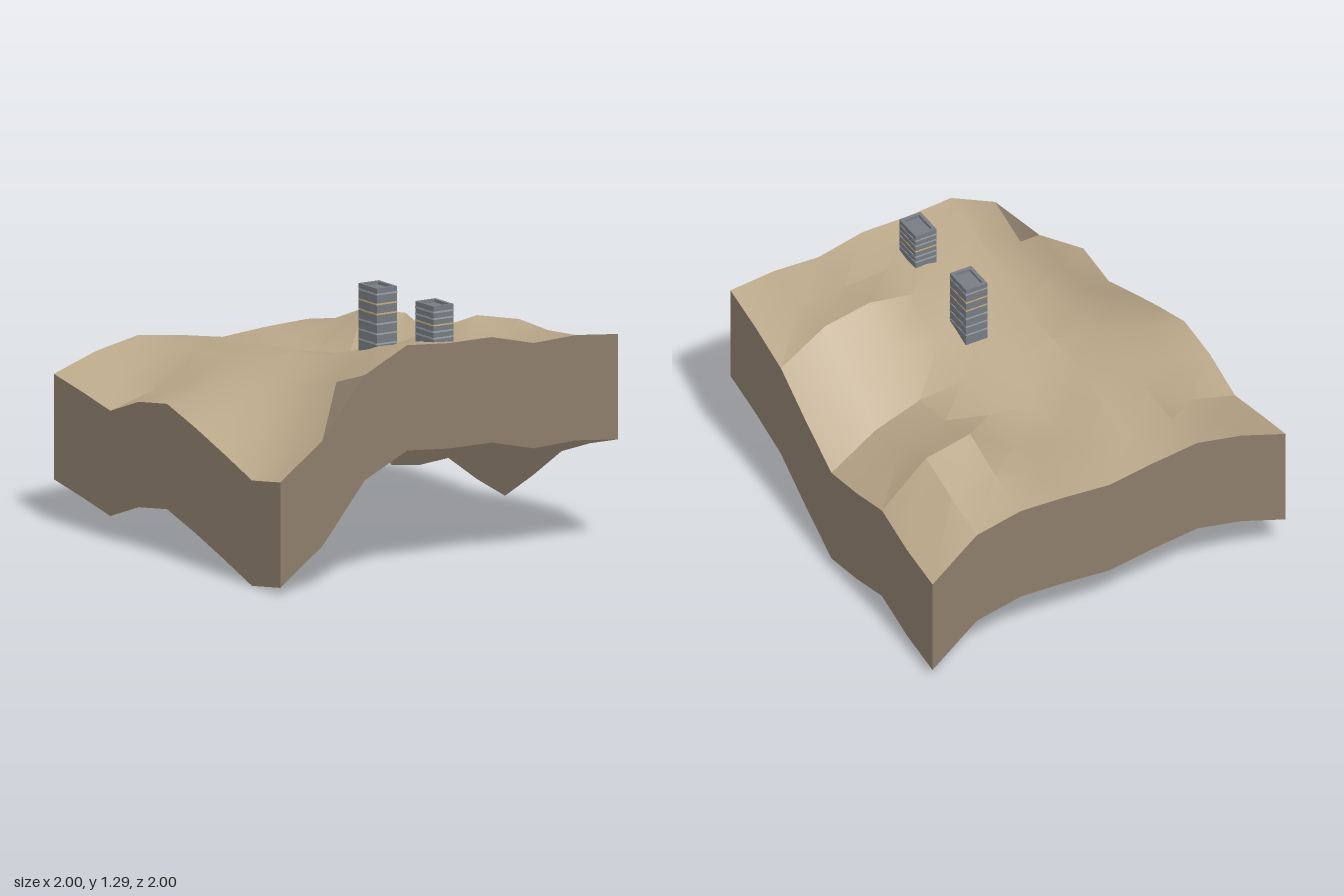
import * as THREE from 'three';
import { toCreasedNormals } from 'three/addons/utils/BufferGeometryUtils.js';

const mat = (name, color, side = THREE.FrontSide) => {
  const m = new THREE.MeshStandardMaterial({ color, side });
  m.name = name;
  return m;
};

// Ground heights: rows run from back to front, columns from -x to +x
const HEIGHTS = [
  [0.755, 0.84, 0.89, 0.86, 0.82, 0.84, 0.85, 0.795, 0.585],
  [0.71, 0.78, 0.865, 0.88, 0.83, 0.84, 0.9, 0.86, 0.63],
  [0.66, 0.73, 0.89, 0.91, 0.79, 0.83, 0.995, 0.94, 0.71],
  [0.75, 0.8, 0.9, 0.95, 0.82, 0.85, 0.91, 0.83, 0.65],
  [0.785, 0.84, 0.92, 0.965, 0.92, 0.9, 0.87, 0.78, 0.61],
  [0.71, 0.8, 0.9, 0.97, 0.98, 0.985, 1.0, 0.93, 0.76],
  [0.625, 0.74, 0.92, 1.03, 1.05, 1.1, 1.14, 1.09, 0.925],
  [0.535, 0.7, 0.97, 1.12, 1.11, 1.09, 1.07, 1.08, 1.01],
  [0.57, 0.75, 1.05, 1.17, 1.15, 1.15, 1.09, 1.1, 1.075],
];
const N = 8;
const SKIRT = 0.53;

// Ground surface; the steepest faces are bare rock
function makeGround(soil, rock) {
  const plane = new THREE.PlaneGeometry(2, 2, N, N).rotateX(-Math.PI / 2);
  const p = plane.attributes.position;
  for (let i = 0; i < p.count; i++) p.setY(i, HEIGHTS[Math.floor(i / (N + 1))][i % (N + 1)]);
  const geo = toCreasedNormals(plane, 0.5);
  const q = geo.attributes.position;
  const tri = new THREE.Triangle();
  const normal = new THREE.Vector3();
  geo.clearGroups();
  for (let i = 0; i < q.count; i += 3) {
    tri.setFromAttributeAndIndices(q, i, i + 1, i + 2).getNormal(normal);
    geo.addGroup(i, 3, normal.y < 0.65 ? 1 : 0);
  }
  const mesh = new THREE.Mesh(geo, [soil, rock]);
  mesh.name = 'ground';
  return mesh;
}

// One side wall hanging from an edge of the ground, open underneath
function makeWall(name, cell, rock) {
  const pos = [];
  const index = [];
  for (let i = 0; i <= N; i++) {
    const [r, c] = cell(i);
    const x = c / 4 - 1, z = r / 4 - 1, y = HEIGHTS[r][c];
    pos.push(x, y, z, x, y - SKIRT, z);
    if (i < N) {
      const k = 2 * i;
      index.push(k, k + 1, k + 2, k + 2, k + 1, k + 3);
    }
  }
  const geo = new THREE.BufferGeometry();
  geo.setAttribute('position', new THREE.Float32BufferAttribute(pos, 3));
  geo.setIndex(index);
  geo.computeVertexNormals();
  const mesh = new THREE.Mesh(geo, rock);
  mesh.name = name;
  return mesh;
}

// Rectangular tower with a parapet and thin window bands on every floor
function makeTower(name, z, base, floors, step, lit, m) {
  const g = new THREE.Group();
  g.name = name;
  g.position.set(0.08, 0, z);
  const W = 0.12, D = 0.16, TOP = 1.3, ROOF = 1.285, T = 0.018;
  const box = (part, w, h, d, x, y, zz, material) => {
    const mesh = new THREE.Mesh(new THREE.BoxGeometry(w, h, d), material);
    mesh.name = part;
    mesh.position.set(x, y, zz);
    g.add(mesh);
  };
  box('towerBody', W, ROOF - base, D, 0, (ROOF + base) / 2, 0, m.concrete);
  for (const s of [-1, 1]) {
    box('parapetSide', T, TOP - ROOF, D, s * (W - T) / 2, (TOP + ROOF) / 2, 0, m.concrete);
    box('parapetEnd', W - 2 * T, TOP - ROOF, T, 0, (TOP + ROOF) / 2, s * (D - T) / 2, m.concrete);
  }
  for (let i = 0; i < floors; i++) {
    const material = lit.includes(i) ? m.warm : m.glass;
    box('windowBand', W + 0.002, 0.008, D + 0.002, 0, 1.27 - i * step, 0, material);
  }
  return g;
}

export function createModel() {
  const soil = mat('soil', 0xbba88a, THREE.DoubleSide);
  const rock = mat('rock', 0x8e7f6d, THREE.DoubleSide);
  const m = {
    concrete: mat('concrete', 0x787e84),
    glass: mat('paleGlass', 0xa0a8ae),
    warm: mat('warmWindows', 0xcdb07a),
  };
  const group = new THREE.Group();
  group.name = 'hillWithTowers';
  group.add(
    makeGround(soil, rock),
    makeWall('frontWall', (i) => [N, i], rock),
    makeWall('backWall', (i) => [0, N - i], rock),
    makeWall('leftWall', (i) => [N - i, N], rock),
    makeWall('rightWall', (i) => [i, 0], rock),
    makeTower('rearTower', 0.25, 0.96, 6, 0.05, [1, 2], m),
    makeTower('frontTower', 0.75, 1.08, 5, 0.033, [2], m),
  );
  return group;
}
